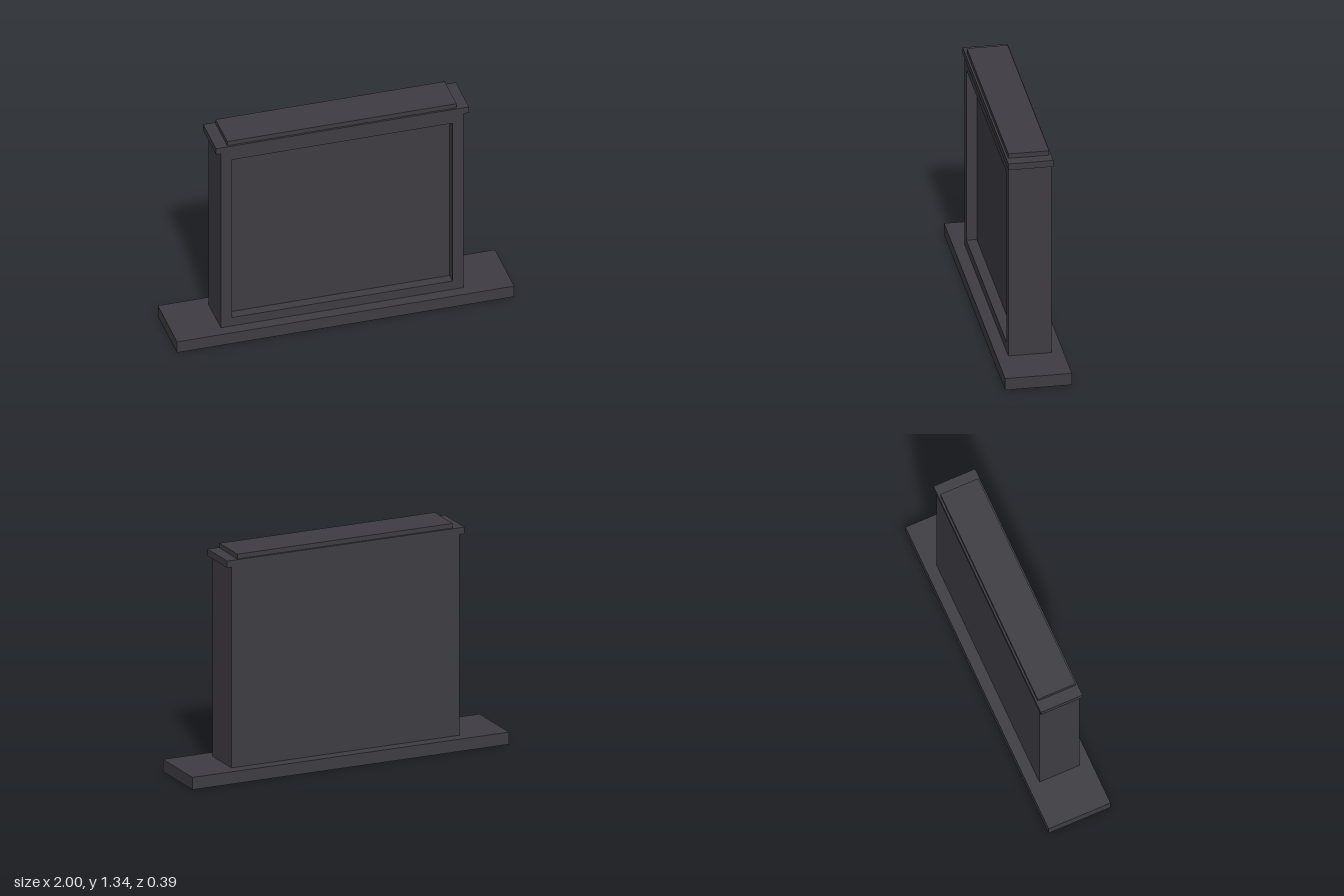
import * as THREE from 'three';

const charcoal = new THREE.MeshStandardMaterial({ color: 0x3e3c42, side: THREE.DoubleSide });
charcoal.name = 'charcoal';

// Box face order: +x, -x, +y, -y, +z, -z
const TOP = 2, BOTTOM = 3, FRONT = 4;

// Box standing between y0 and y1, with the listed faces left open
function openBox(w, y0, y1, d, z = 0, open = []) {
  const geo = new THREE.BoxGeometry(w, y1 - y0, d);
  const index = Array.from(geo.index.array);
  geo.setIndex(index.filter((_, i) => !open.includes(Math.floor(i / 6))));
  geo.clearGroups();
  return geo.translate(0, (y0 + y1) / 2, z);
}

function rect(Type, x, y0, y1) {
  const r = new Type();
  r.moveTo(-x, y0).lineTo(x, y0).lineTo(x, y1).lineTo(-x, y1).closePath();
  return r;
}

// Flat rectangle with a rectangular opening, facing +z
function frame(x, y0, y1, hx, hy0, hy1) {
  const shape = rect(THREE.Shape, x, y0, y1);
  shape.holes.push(rect(THREE.Path, hx, hy0, hy1));
  return new THREE.ShapeGeometry(shape);
}

export function createModel() {
  const model = new THREE.Group();
  model.name = 'framedPanelOnPlinth';
  const add = (name, geo) => {
    const mesh = new THREE.Mesh(geo, charcoal);
    mesh.name = name;
    model.add(mesh);
  };

  const baseTop = 0.073, bodyTop = 1.27, bodyX = 0.72, bodyZ = 0.125;

  // Hollow plinth, open below and pierced where the body stands
  add('plinthSides', openBox(2, 0, baseTop, 0.386, 0, [TOP, BOTTOM]));
  add('plinthTop', frame(1, -0.193, 0.193, bodyX, -bodyZ, bodyZ)
    .rotateX(-Math.PI / 2).translate(0, baseTop, 0));

  // Hollow body with a framed recess in the front
  add('body', openBox(bodyX * 2, baseTop, bodyTop, bodyZ * 2, 0, [BOTTOM, FRONT]));
  add('frontFrame', frame(bodyX, baseTop, bodyTop, 0.655, 0.13, 1.213).translate(0, 0, bodyZ));
  add('recess', openBox(1.31, 0.13, 1.213, 0.06, bodyZ - 0.03, [FRONT]));

  // Stepped top
  add('cornice', openBox(1.5, bodyTop, 1.31, 0.26));
  add('cap', openBox(1.36, 1.31, 1.338, 0.236));

  return model;
}
